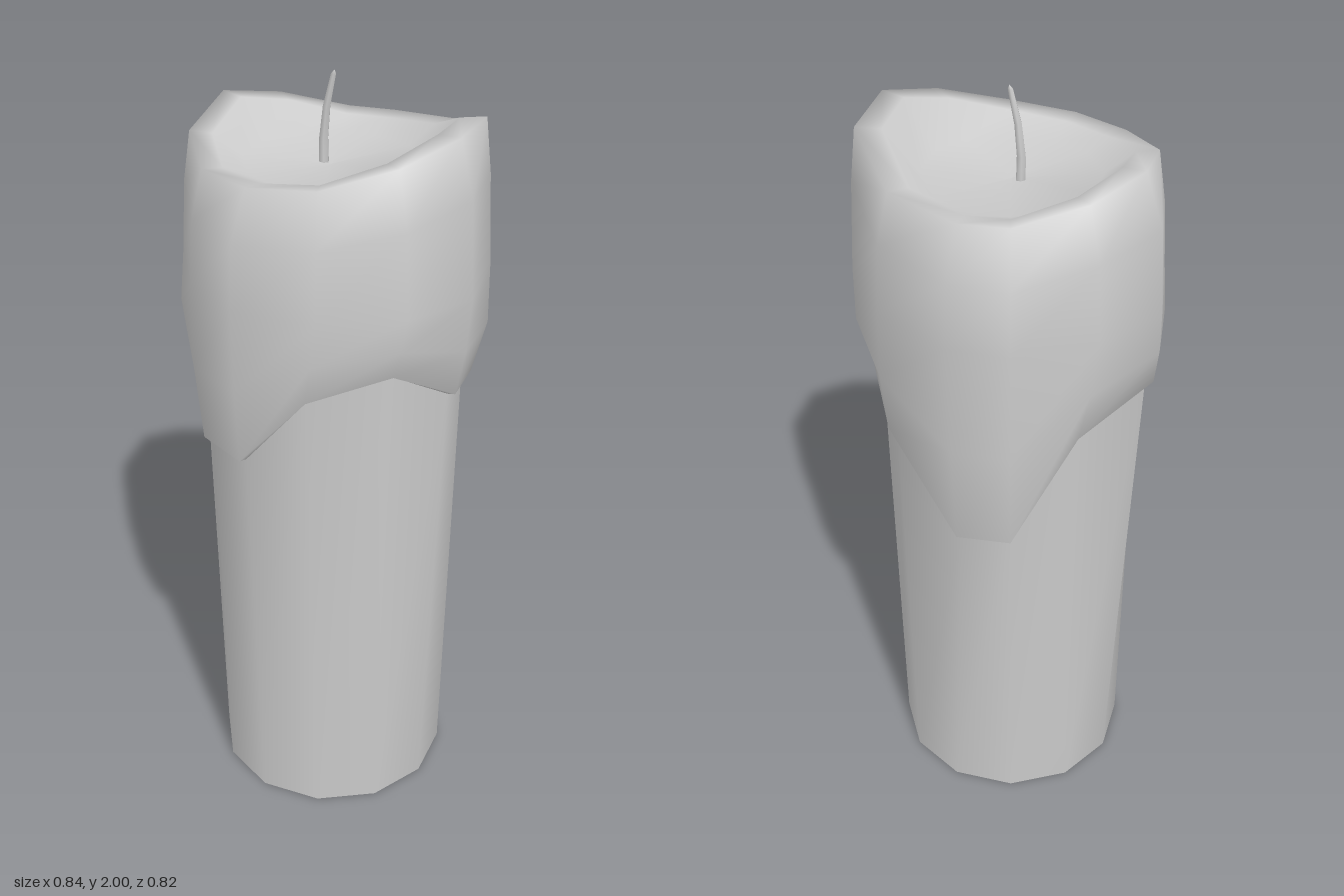
import * as THREE from 'three';

const RAD = Math.PI / 180;

// Skin a stack of closed rings (bottom to top) with smooth normals.
function loft(rings) {
  const n = rings[0].length;
  const pos = rings.flat().flatMap((p) => [p.x, p.y, p.z]);
  const index = [];
  for (let i = 0; i < rings.length - 1; i++) {
    for (let j = 0; j < n; j++) {
      const a = i * n + j, b = i * n + (j + 1) % n;
      index.push(a, a + n, b, b, a + n, b + n);
    }
  }
  const geo = new THREE.BufferGeometry();
  geo.setAttribute('position', new THREE.Float32BufferAttribute(pos, 3));
  geo.setIndex(index);
  geo.computeVertexNormals();
  return geo;
}

const polar = (deg, r, y) => new THREE.Vector3(r * Math.cos(deg * RAD), y, r * Math.sin(deg * RAD));

// Melted wax columns: [angle, widest radius, rim height, drip angle, drip height, body radius there]
const COLUMNS = [
  [-97, 0.413, 1.81, -98, 0.965, 0.365],
  [-64, 0.389, 1.83, -65, 1.195, 0.355],
  [-29, 0.394, 1.90, -25, 1.235, 0.337],
  [3, 0.421, 1.91, 3, 1.26, 0.362],
  [30, 0.417, 1.87, 33, 1.37, 0.37],
  [60, 0.406, 1.825, 64, 1.31, 0.365],
  [90, 0.406, 1.81, 90, 1.115, 0.365],
  [118, 0.38, 1.81, 113, 1.115, 0.352],
  [151, 0.378, 1.84, 147, 1.28, 0.333],
  [185, 0.422, 1.88, 178, 1.30, 0.368],
  [212, 0.409, 1.85, 217, 1.25, 0.36],
  [242, 0.423, 1.81, 242, 0.965, 0.365],
];

export function createModel() {
  const group = new THREE.Group();
  const material = new THREE.MeshStandardMaterial({ color: 0xcccccc, side: THREE.DoubleSide });
  const add = (name, geometry) => {
    const mesh = new THREE.Mesh(geometry, material);
    mesh.name = name;
    group.add(mesh);
  };

  // Body, open underneath, widening up to the edge of the melted wax
  const underEdge = COLUMNS.map(([, , , d, low, body]) => polar(d, body, low));
  const foot = COLUMNS.map((_, j) => polar(j * 30 - 88, 0.317, 0));
  add('candleBody', loft([foot, underEdge]));

  // Wax cap: lip, swelling, shoulder, rounded rim, bowl and floor
  const profile = [
    ([, , , d, low, body]) => polar(d, body + 0.022 + 0.02 * (1.31 - low), low + 0.006),
    ([a, r, , d, low]) => polar((a + d) / 2, (r + 0.398) / 2, low + 0.48 * (1.53 - low)),
    ([a, r]) => polar(a, r, 1.53),
    ([a, r, rim]) => polar(a, 0.97 * r, 1.69 + 0.8 * (rim - 1.81)),
    ([a, , rim]) => polar(a, 0.338 + 0.32 * (rim - 1.81), rim),
    ([a, , rim]) => polar(a, 0.285 + 0.2 * (rim - 1.81), rim - 0.005),
    ([a, , rim]) => polar(a, 0.22, 1.778 + 0.1 * (rim - 1.81)),
    () => new THREE.Vector3(0, 1.77, 0),
  ];
  add('meltedWax', loft([underEdge, ...profile.map((at) => COLUMNS.map(at))]));

  // Bent, tapering wick: [x, y, radius]
  const wick = [[-0.024, 1.765, 0.013], [-0.025, 1.83, 0.012], [-0.016, 1.91, 0.01], [0.004, 1.99, 0.007], [0.007, 2, 0]];
  add('wick', loft(wick.map(([x, y, r]) =>
    Array.from({ length: 6 }, (_, j) => polar(j * 60, r, y).add(new THREE.Vector3(x, 0, 0))))));

  return group;
}
